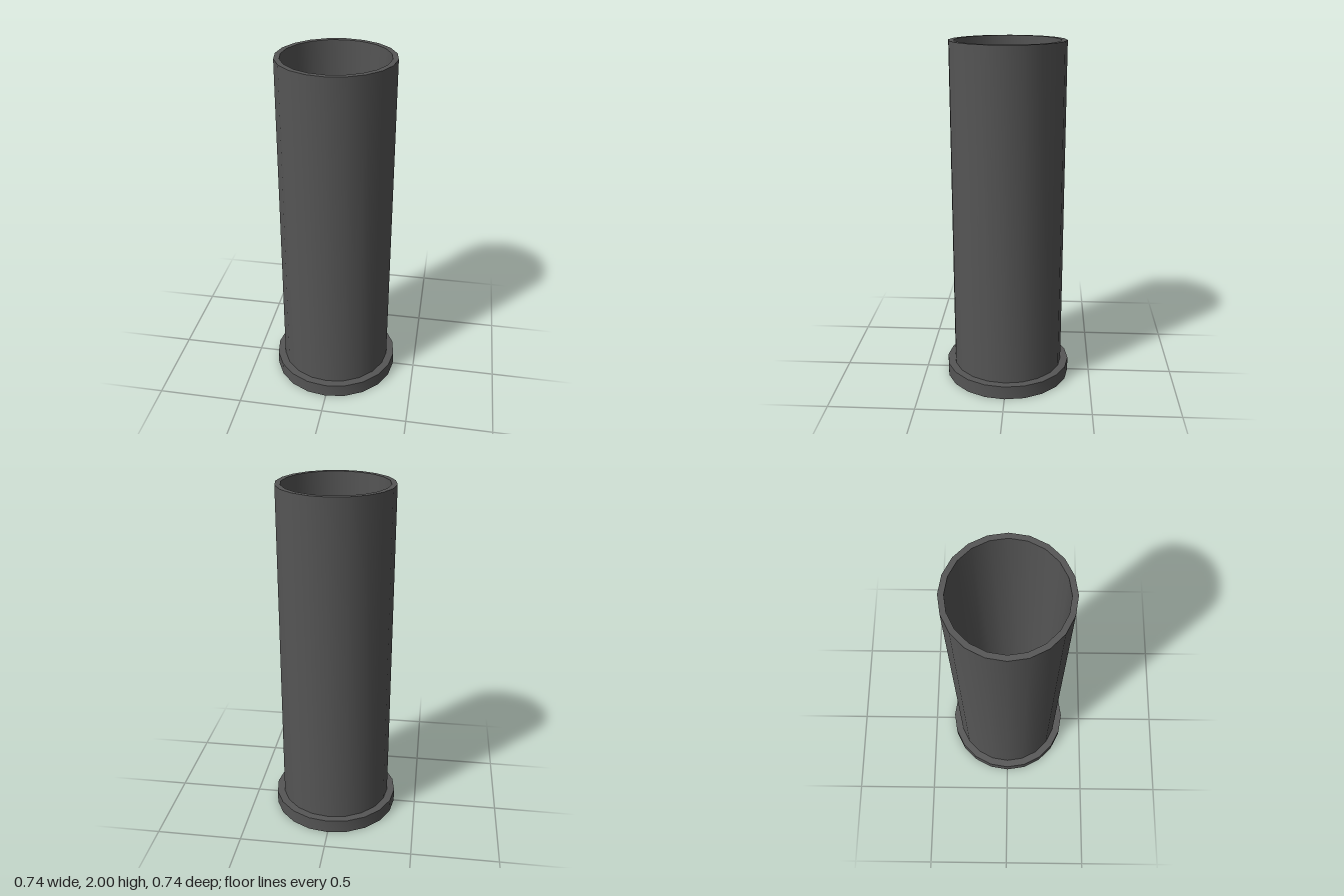
import * as THREE from 'three';
import { toCreasedNormals } from 'three/addons/utils/BufferGeometryUtils.js';

const SIDES = 20;
const RIM_TOP = 0.08;

export function createModel() {
  const group = new THREE.Group();
  const material = new THREE.MeshStandardMaterial({ color: 0x555555 });

  // Turned part: profile of [radius, height], smooth around, sharp at corners
  function addTurned(name, profile) {
    const points = profile.map(([r, y]) => new THREE.Vector2(r, y));
    const geometry = toCreasedNormals(new THREE.LatheGeometry(points, SIDES), Math.PI / 5);
    const mesh = new THREE.Mesh(geometry, material);
    mesh.name = name;
    group.add(mesh);
  }

  // Closed base with a wider rim and a shallow round recess underneath
  addTurned('baseRim', [
    [0, 0.025], [0.205, 0.025], [0.205, 0], [0.37, 0], [0.37, RIM_TOP], [0, RIM_TOP],
  ]);

  // Hollow tube, open at the top
  addTurned('tube', [
    [0.325, RIM_TOP], [0.325, 2], [0.295, 2], [0.295, RIM_TOP],
  ]);

  return group;
}
